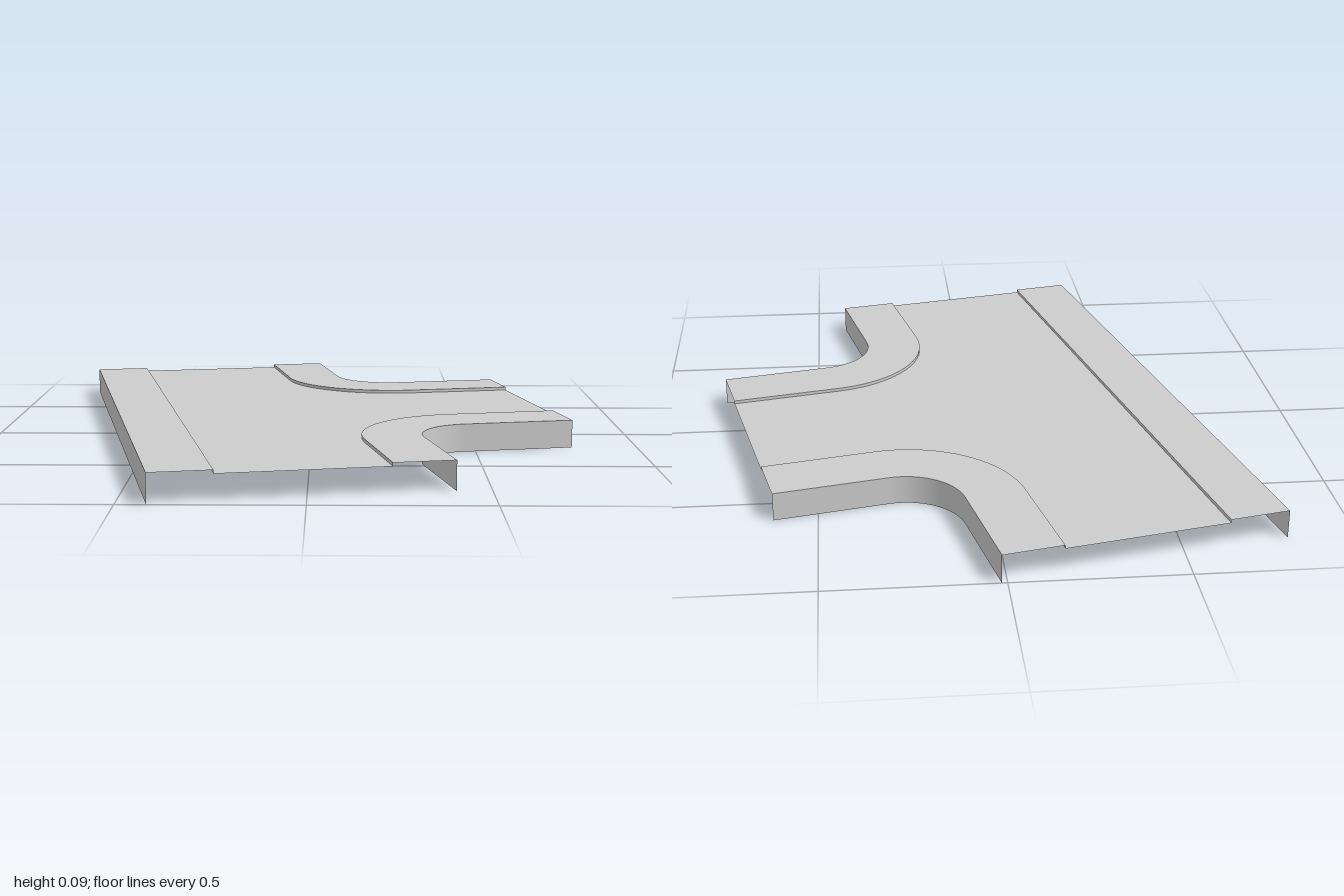
import * as THREE from 'three';

// T-junction plan: half length, road and outer half widths, corner centre, heights
const LEN = 0.934, ROAD = 0.241, EDGE = 0.418, CORNER = 0.595;
const ROAD_Y = 0.075, TOP_Y = 0.085, SEGMENTS = 20;

const concrete = new THREE.MeshStandardMaterial({ color: 0xcccccc, side: THREE.DoubleSide });
concrete.name = 'grey concrete';

// Plan line around a corner, at a given half width; side -1 is the back corner, +1 the front
function cornerLine(halfWidth, side) {
  const r = CORNER - halfWidth;
  const pts = [[halfWidth, side * LEN]];
  for (let i = 0; i <= SEGMENTS; i++) {
    const t = (i / SEGMENTS) * Math.PI / 2;
    pts.push([CORNER - r * Math.cos(t), side * (CORNER - r * Math.sin(t))]);
  }
  pts.push([LEN, side * halfWidth]);
  return side > 0 ? pts.reverse() : pts;
}

// Surface between two plan lines, each at its own height
function ribbon(name, lineA, yA, lineB, yB) {
  const pos = [], index = [];
  lineA.forEach(([x, z], i) => {
    pos.push(x, yA, z, lineB[i][0], yB, lineB[i][1]);
    if (i > 0) {
      const a = 2 * i - 2;
      index.push(a, a + 2, a + 1, a + 1, a + 2, a + 3);
    }
  });
  const geo = new THREE.BufferGeometry();
  geo.setAttribute('position', new THREE.Float32BufferAttribute(pos, 3));
  geo.setIndex(index);
  geo.computeVertexNormals();
  const mesh = new THREE.Mesh(geo, concrete);
  mesh.name = name;
  return mesh;
}

// Raised pavement: curb face, walking surface and outer skirt wall
function pavement(name, inner, outer) {
  const group = new THREE.Group();
  group.name = name;
  group.add(
    ribbon('curb', inner, ROAD_Y, inner, TOP_Y),
    ribbon('walkway', inner, TOP_Y, outer, TOP_Y),
    ribbon('skirt', outer, TOP_Y, outer, 0)
  );
  return group;
}

export function createModel() {
  const junction = new THREE.Group();
  junction.name = 'roadJunction';

  // Flat road deck
  const outline = [
    [-ROAD, LEN], ...cornerLine(ROAD, 1).reverse(),
    ...cornerLine(ROAD, -1).reverse(), [-ROAD, -LEN]
  ].map(([x, z]) => new THREE.Vector2(x, -z));
  const deck = new THREE.ShapeGeometry(new THREE.Shape(outline));
  deck.rotateX(-Math.PI / 2).translate(0, ROAD_Y, 0);
  const road = new THREE.Mesh(deck, concrete);
  road.name = 'roadDeck';
  junction.add(road);

  // Straight pavement and the two curved corners
  const straight = (w) => [[-w, LEN], [-w, -LEN]];
  junction.add(pavement('straightPavement', straight(ROAD), straight(EDGE)));
  for (const [name, side] of [['backCornerPavement', -1], ['frontCornerPavement', 1]]) {
    junction.add(pavement(name, cornerLine(ROAD, side), cornerLine(EDGE, side)));
  }

  // The whole junction is turned slightly
  junction.rotation.y = 0.2085;
  junction.position.x = -0.2;

  const model = new THREE.Group();
  model.name = 'tJunction';
  model.add(junction);
  return model;
}
